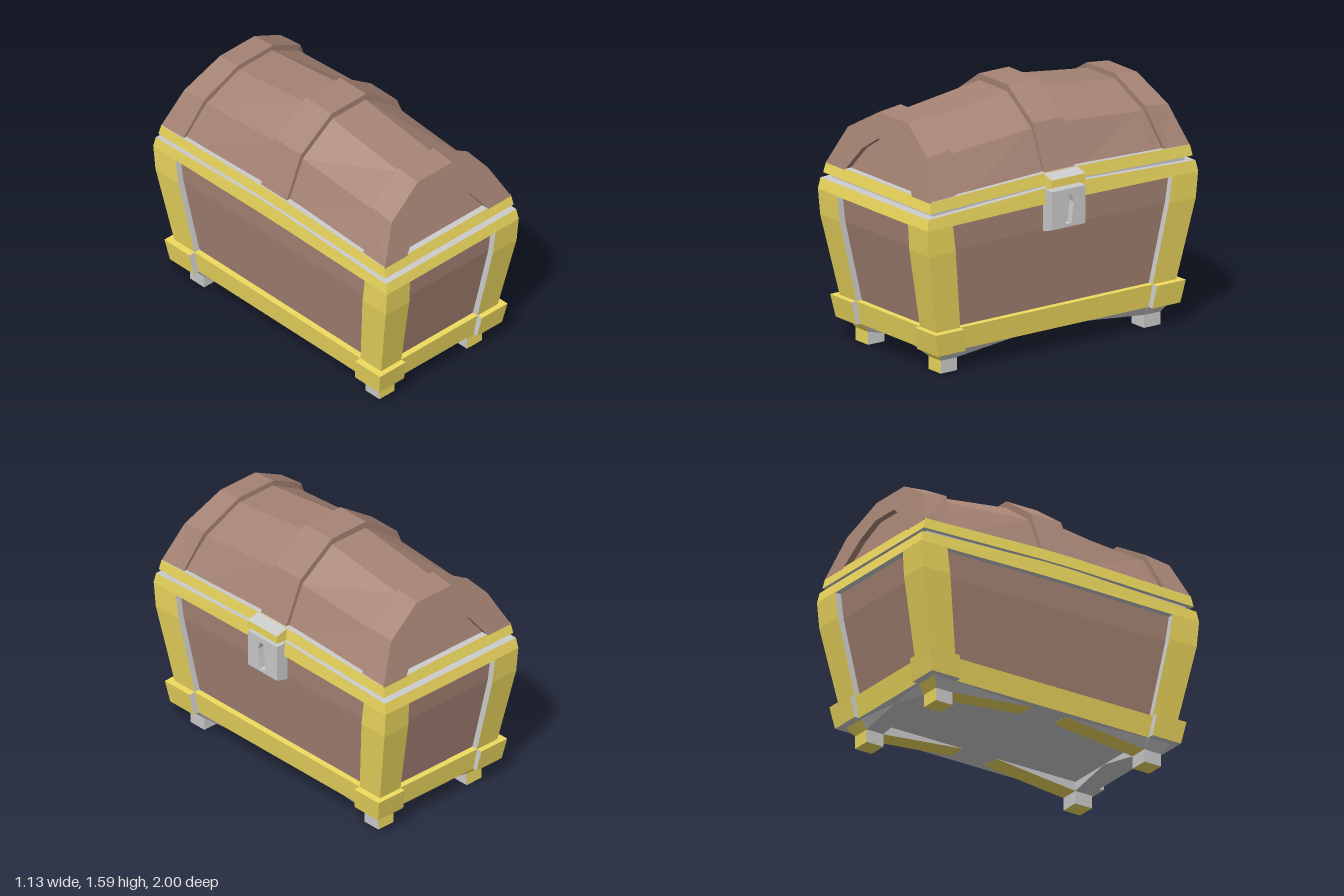
import * as THREE from 'three';

const BROWN = 0xa68475, GOLD = 0xefda5f, GREY = 0xcccccc;
const mats = {};
for (const c of [BROWN, GOLD, GREY]) {
  mats[c] = new THREE.MeshStandardMaterial({ color: c, flatShading: true });
}

// Closed solid through matching rings; sides = one colour, or one per ring edge
function loft(name, rings, sides, startCap, endCap = startCap) {
  const n = rings[0].length, tris = [];
  const colour = (k) => (Array.isArray(sides) ? sides[k] : sides);
  for (let i = 0; i < rings.length - 1; i++) {
    for (let k = 0; k < n; k++) {
      const a = rings[i][k], b = rings[i][(k + 1) % n];
      const c = rings[i + 1][(k + 1) % n], d = rings[i + 1][k];
      tris.push([a, b, c, colour(k)], [a, c, d, colour(k)]);
    }
  }
  const last = rings[rings.length - 1];
  for (let k = 1; k < n - 1; k++) {
    tris.push([rings[0][0], rings[0][k + 1], rings[0][k], startCap]);
    tris.push([last[0], last[k], last[k + 1], endCap]);
  }
  // Turn the faces outward whichever way the rings run
  const v = (p) => new THREE.Vector3(...p);
  const volume = tris.reduce((s, [a, b, c]) => s + v(a).dot(v(b).cross(v(c))), 0);
  const byColour = {};
  for (const [a, b, c, col] of tris) {
    (byColour[col] ||= []).push(...a, ...(volume < 0 ? [...c, ...b] : [...b, ...c]));
  }
  const group = new THREE.Group();
  group.name = name;
  for (const col in byColour) {
    const g = new THREE.BufferGeometry();
    g.setAttribute('position', new THREE.Float32BufferAttribute(byColour[col], 3));
    g.computeVertexNormals();
    const mesh = new THREE.Mesh(g, mats[col]);
    mesh.name = name;
    group.add(mesh);
  }
  return group;
}

// Horizontal ring between x = a..b and z = c..d
const rect = (y, a, b, c, d) => [[a, y, c], [b, y, c], [b, y, d], [a, y, d]];
const full = (y, hw, hl) => rect(y, -hw, hw, -hl, hl);
// Arch profile of six points from three half-profile points [x, y, z]
const arch = (p) => [
  ...p.map(([x, y, z]) => [-x, y, z]),
  ...p.slice().reverse(),
];

export function createModel() {
  const model = new THREE.Group();
  model.name = 'treasureChest';
  const chest = new THREE.Group();
  chest.name = 'chest';
  chest.position.x = -0.03;
  model.add(chest);
  const add = (...args) => chest.add(loft(...args));

  // Recessed wooden walls and the rim seen in the gap below the lid
  add('bodyPanels', [
    full(0.2, 0.426, 0.83), full(0.28, 0.436, 0.845),
    full(0.78, 0.493, 0.945), full(0.95, 0.497, 0.96),
  ], BROWN, BROWN);
  add('innerRim', [full(0.95, 0.495, 0.93), full(1.08, 0.495, 0.93)], GREY, GREY);
  add('bottomRail', [full(0.14, 0.46, 0.865), full(0.28, 0.476, 0.885)], GOLD, GREY, GOLD);

  // Corner posts, corner blocks, feet and sloping skirts
  const cornerSides = [GREY, GOLD, GOLD, GREY];
  for (const sx of [-1, 1]) {
    for (const sz of [-1, 1]) {
      const corner = ([y, a, hw, b, hl]) => rect(y, sx * a, sx * hw, sz * b, sz * hl);
      add('cornerPost', [
        [0.2, 0.305, 0.466, 0.7, 0.872], [0.28, 0.31, 0.475, 0.71, 0.885],
        [0.78, 0.34, 0.533, 0.787, 0.985], [0.945, 0.348, 0.536, 0.81, 1.0],
      ].map(corner), cornerSides, GOLD);
      add('cornerBlock', [
        [0.14, 0.297, 0.5, 0.69, 0.895], [0.28, 0.31, 0.519, 0.71, 0.922],
      ].map(corner), cornerSides, GREY, GOLD);
      add('foot', [
        [0, 0.295, 0.417, 0.69, 0.81], [0.08, 0.295, 0.417, 0.69, 0.81],
        [0.145, 0.295, 0.46, 0.69, 0.85],
      ].map(corner), [GREY, GREY, GOLD, GREY], GOLD);
      // Wedges falling from the middle of each side to the foot
      const longCut = (z, y) => [
        [sx * 0.295, y, z], [sx * 0.417, y, z], [sx * 0.455, 0.145, z], [sx * 0.295, 0.145, z],
      ];
      add('longSkirt', [longCut(sz * 0.12, 0.139), longCut(sz * 0.7, 0.08)],
        [GOLD, GREY, GREY, GREY], GREY);
      const endCut = (x, y) => [
        [x, y, sz * 0.69], [x, y, sz * 0.81], [x, 0.145, sz * 0.85], [x, 0.145, sz * 0.69],
      ];
      add('endSkirt', [endCut(0, 0.139), endCut(sx * 0.3, 0.08)], GREY, GREY);
    }
  }

  // Metal bands round the mouth and the lid, rising slightly at mid length
  const band = (name, low, high, lowRise, highRise) => {
    const [y0, w0, l0] = low, [y1, w1, l1] = high;
    const cut = (s, mid) => {
      const z0 = mid ? 0.12 : l0, z1 = mid ? 0.12 : l1;
      const a = y0 + (mid ? lowRise : 0), b = y1 + (mid ? highRise : 0);
      return [[-w0, a, s * z0], [-w1, b, s * z1], [w1, b, s * z1], [w0, a, s * z0]];
    };
    add(name, [cut(-1, false), cut(-1, true), cut(1, true), cut(1, false)],
      [GOLD, GREY, GOLD, GREY], GOLD);
  };
  band('mouthBand', [0.94, 0.537, 1.0], [1.01, 0.53, 0.985], 0.01, 0.035);
  band('lidBand', [1.04, 0.523, 0.97], [1.108, 0.515, 0.955], 0.02, 0.025);

  // Faceted wooden lid, highest in the middle
  const lidCut = (z, side, top) => arch([[0.5, 1.09, z], [0.375, side, z], [0.135, top, z]]);
  add('lidPanels', [
    lidCut(-0.8, 1.315, 1.455), lidCut(-0.69, 1.33, 1.47), lidCut(-0.11, 1.375, 1.545),
    lidCut(0.11, 1.375, 1.545), lidCut(0.69, 1.33, 1.47), lidCut(0.8, 1.315, 1.455),
  ], BROWN, BROWN);
  add('middleStrap', [-0.11, 0.11].map((z) =>
    arch([[0.515, 1.11, z], [0.39, 1.41, z], [0.14, 1.585, z]])), BROWN, BROWN);

  // End straps: arched frames around a recessed end panel
  const zOut = (y) => 0.955 - 0.29 * (y - 1.11);
  for (const s of [-1, 1]) {
    const outer = arch([[0.515, 1.1, s * zOut(1.1)], [0.39, 1.34, s * zOut(1.34)], [0.14, 1.485, s * zOut(1.485)]]);
    const inner = arch([[0.515, 1.1, s * 0.772], [0.39, 1.362, s * 0.715], [0.14, 1.503, s * 0.687]]);
    const hole = [[0.33, 1.1], [0.22, 1.25], [0.095, 1.34]];
    const rim = arch(hole.map(([x, y]) => [x, y, s * zOut(y)]));
    const deep = arch(hole.map(([x, y]) => [x, y, s * (zOut(y) - 0.04)]));
    const back = arch(hole.map(([x, y]) => [x, y, s * 0.75]));
    add('endStrap', outer.map((p, i) => {
      const [x, y, z] = inner[i];
      return [p, inner[i], [x * 0.92, y - (y > 1.2 ? 0.06 : 0), z], deep[i], rim[i]];
    }), BROWN, BROWN);
    add('lidEndPanel', [back, deep], BROWN, BROWN);
  }

  // Hasp on the lid
  const haspCut = (z) => [[0.49, 1.05, z], [0.49, 1.137, z], [0.595, 1.108, z], [0.595, 1.06, z]];
  add('hasp', [haspCut(-0.125), haspCut(0.125)], [GREY, GREY, GOLD, GREY], GOLD);

  // Lock plate with a cut-out keyhole and a sloping lower edge
  const plate = new THREE.Shape([[-0.125, 0.775], [0.125, 0.775], [0.125, 1.035], [-0.125, 1.035]]
    .map((p) => new THREE.Vector2(...p)));
  plate.holes.push(new THREE.Path([[-0.02, 0.82], [-0.037, 0.95], [-0.02, 1.0], [0.02, 1.0], [0.037, 0.95], [0.02, 0.82]]
    .map((p) => new THREE.Vector2(...p))));
  const lockGeo = new THREE.ExtrudeGeometry(plate, { depth: 0.085, bevelEnabled: false });
  const pos = lockGeo.attributes.position;
  for (let i = 0; i < pos.count; i++) {
    if (pos.getY(i) < 0.79 && pos.getZ(i) > 0.05) pos.setY(i, 0.8);
  }
  lockGeo.rotateY(Math.PI / 2).translate(0.51, 0, 0);
  lockGeo.computeVertexNormals();
  const lock = new THREE.Mesh(lockGeo, mats[GREY]);
  lock.name = 'lockPlate';
  chest.add(lock);
  add('keyholeBack', [rect(0.81, 0.5, 0.555, -0.06, 0.06), rect(1.01, 0.5, 0.555, -0.06, 0.06)], GREY, GREY);

  return model;
}
